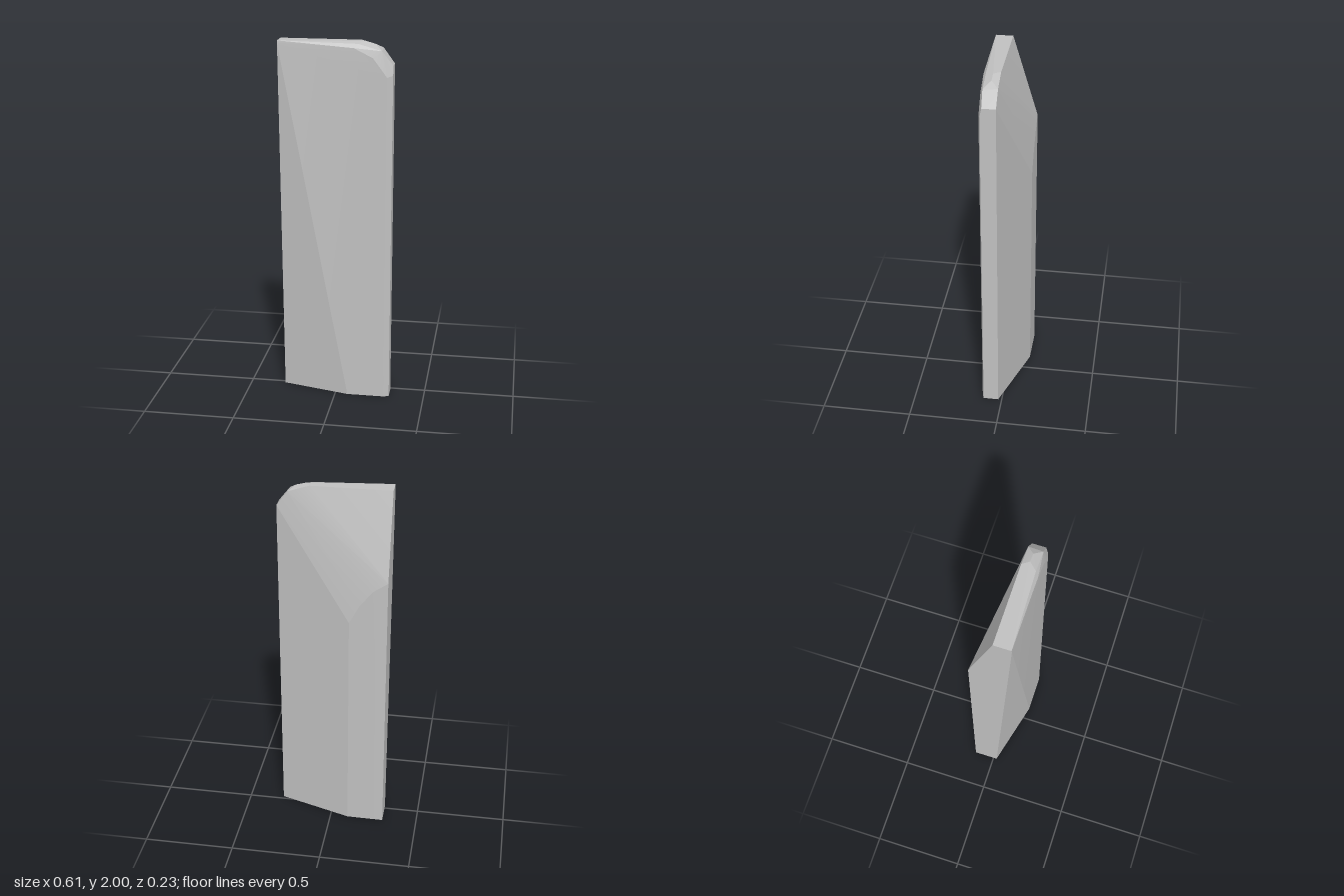
import * as THREE from 'three';
import { ConvexGeometry } from 'three/addons/geometries/ConvexGeometry.js';
import { toCreasedNormals } from 'three/addons/utils/BufferGeometryUtils.js';

export function createModel() {
  const stone = new THREE.MeshStandardMaterial({ color: 0xc0c0c0 });
  stone.name = 'plain grey';

  // Foot: a six-sided section, thinner on the tilted front corner
  const foot = [
    [-0.305, 0, 0.02], [0.07, 0, 0.115], [0.275, 0, 0.115], [0.305, 0, 0.105],
    [0.305, 0, 0.02], [-0.1, 0, -0.113], [-0.305, 0, -0.115],
  ];
  // Rounded shoulder where the back slope begins
  const backShoulder = [
    [-0.305, 1.54, -0.115], [-0.225, 1.485, -0.115],
    [-0.155, 1.395, -0.114], [-0.1, 1.29, -0.113],
  ];
  // Narrow top with its clipped corner
  const top = [
    [-0.305, 2, 0.113], [-0.305, 2, 0.02], [0.13, 2, 0.021],
    [0.155, 2, 0.058], [0.12, 1.99, 0.098], [0.205, 1.987, 0.058],
    [0.245, 1.962, 0.02], [0.245, 1.955, 0.098],
    [0.305, 1.88, 0.022], [0.305, 1.88, 0.095],
  ];
  // Outline of the flat front below the top bevel
  const front = [
    [-0.305, 1.985, 0.115], [0.1, 1.97, 0.115], [0.2, 1.92, 0.115],
    [0.275, 1.82, 0.115], [0.305, 1.83, 0.105],
  ];

  const points = [...foot, ...backShoulder, ...top, ...front]
    .map((p) => new THREE.Vector3(...p));
  const slab = new THREE.Mesh(toCreasedNormals(new ConvexGeometry(points), 0.15), stone);
  slab.name = 'slab';

  const group = new THREE.Group();
  group.name = 'bevelledSlab';
  group.add(slab);
  return group;
}
